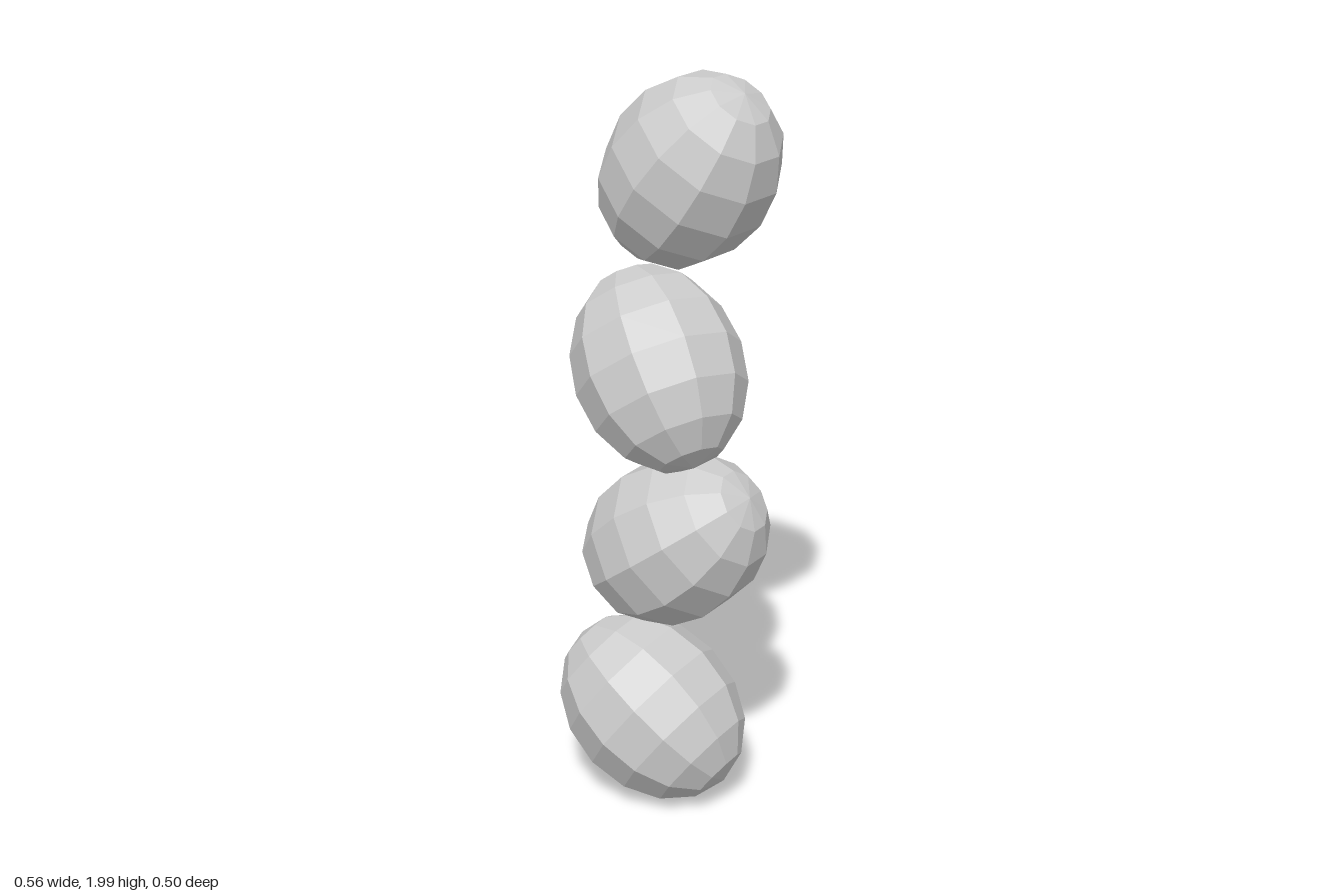
import * as THREE from 'three';

// One faceted egg: long axis along `axis`, one of its facet seams turned towards `seam`
function makeEgg(geometry, material, center, axis, seam) {
  const up = new THREE.Vector3(...axis).normalize();
  const side = new THREE.Vector3(...seam);
  side.addScaledVector(up, -side.dot(up)).normalize();
  const front = new THREE.Vector3().crossVectors(side, up);
  const egg = new THREE.Mesh(geometry, material);
  egg.quaternion.setFromRotationMatrix(new THREE.Matrix4().makeBasis(side, up, front));
  egg.position.set(...center);
  return egg;
}

export function createModel() {
  const group = new THREE.Group();
  group.name = 'eggStack';
  const material = new THREE.MeshStandardMaterial({ color: 0xcccccc, flatShading: true });
  const geometry = new THREE.SphereGeometry(1, 10, 8).scale(0.225, 0.28, 0.225);

  // Stacked eggs from bottom to top, tilting alternately back and forward
  const eggs = [
    ['bottomEgg', [-0.052, 0.247, 0], [-0.44, 0.59, -0.68], [0.485, 0.785, 0.384]],
    ['lowerMiddleEgg', [0.018, 0.733, 0], [0.44, 0.6, 0.67], [-0.556, 0.77, -0.32]],
    ['upperMiddleEgg', [-0.033, 1.226, 0.003], [-0.05, 0.76, -0.65], [-0.03, 0.49, 0.58]],
    ['topEgg', [0.057, 1.742, 0], [0.27, 0.8, 0.53], [-0.6, 0.58, -0.545]],
  ];
  for (const [name, center, axis, seam] of eggs) {
    const egg = makeEgg(geometry, material, center, axis, seam);
    egg.name = name;
    group.add(egg);
  }
  return group;
}
